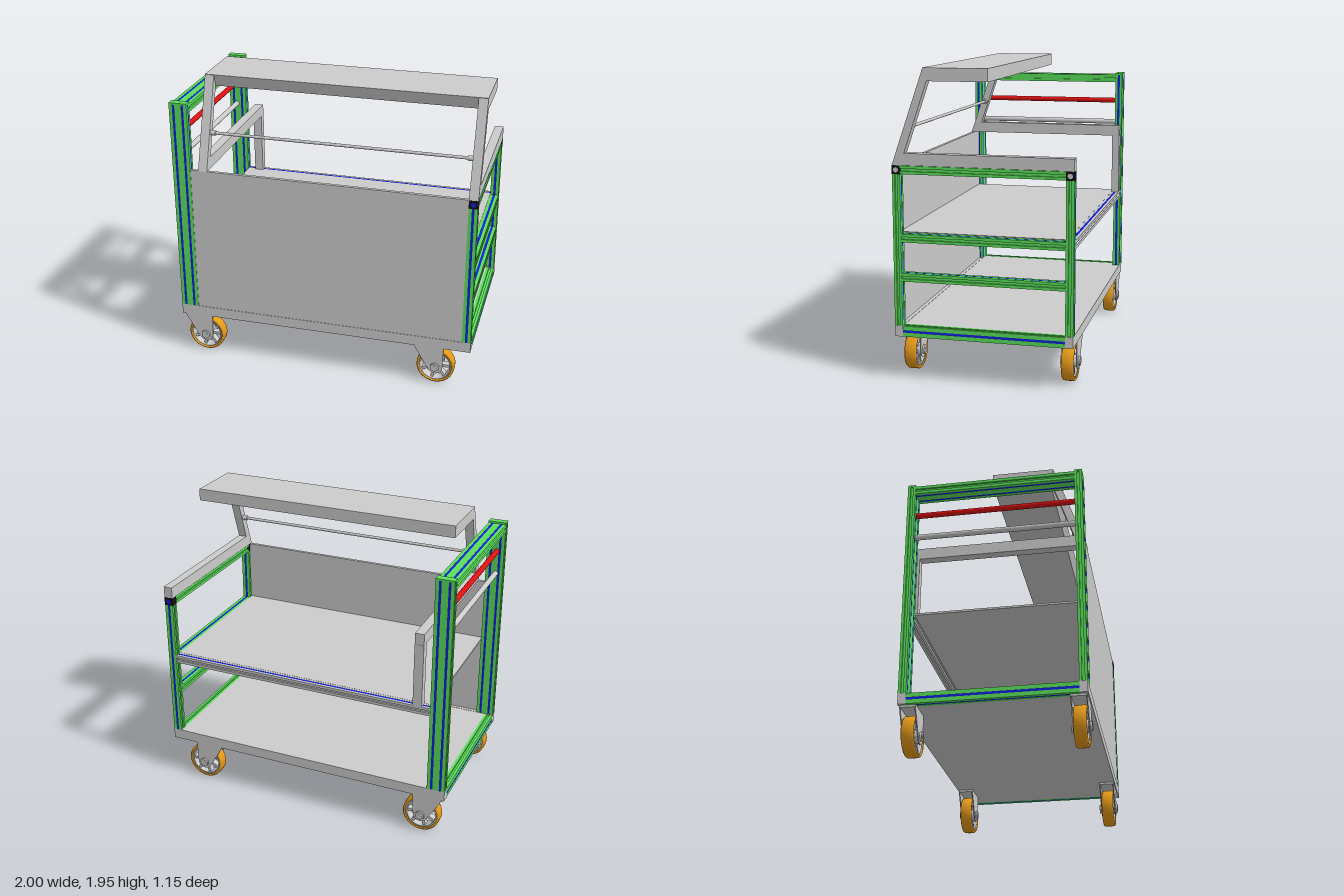
import * as THREE from 'three';

const mat = (color) => new THREE.MeshStandardMaterial({ color });
const GREY = mat(0xcccccc), GREEN = mat(0x5be05b), BLUE = mat(0x1020dd);
const RED = mat(0xdd1111), BLACK = mat(0x111111), ORANGE = mat(0xe69a1a);

function add(parent, name, geo, material, x = 0, y = 0, z = 0) {
  const m = new THREE.Mesh(geo, material);
  m.name = name;
  m.position.set(x, y, z);
  parent.add(m);
  return m;
}

// Box given by its min and max on every axis
function box(parent, name, x0, x1, y0, y1, z0, z1, material = GREY) {
  return add(parent, name, new THREE.BoxGeometry(x1 - x0, y1 - y0, z1 - z0), material,
    (x0 + x1) / 2, (y0 + y1) / 2, (z0 + z1) / 2);
}

// Extrude a side outline of [z, y] points along x
function sideExtrude(parent, name, pts, x0, x1, material = GREY) {
  const shape = new THREE.Shape(pts.map(([z, y]) => new THREE.Vector2(-z, y)));
  const geo = new THREE.ExtrudeGeometry(shape, { depth: x1 - x0, bevelEnabled: false });
  geo.rotateY(Math.PI / 2);
  return add(parent, name, geo, material, x0, 0, 0);
}

const SLOT = 0.016, DEPTH = 0.012;

// Slotted profile, w by h with n cells along w, centred, extruded along local z.
// inlays lists the sides (+u, -u, +v, -v) whose slots hold a blue strip.
function profile(parent, name, w, h, n, len, inlays, material = GREEN) {
  const g = new THREE.Group();
  g.name = name;
  const pts = [], cells = [];
  for (let i = 0; i < n; i++) cells.push(-w / 2 + (w / n) * (i + 0.5));
  const sides = [
    { key: '-v', half: w / 2, off: h / 2, c: cells, a: 0 },
    { key: '+u', half: h / 2, off: w / 2, c: [0], a: Math.PI / 2 },
    { key: '+v', half: w / 2, off: h / 2, c: cells, a: Math.PI },
    { key: '-u', half: h / 2, off: w / 2, c: [0], a: -Math.PI / 2 },
  ];
  const s = SLOT / 2;
  for (const { key, half, off, c, a } of sides) {
    const put = (u, v) => pts.push(new THREE.Vector2(u, v).rotateAround(new THREE.Vector2(), a));
    put(-half, -off);
    for (const m of c) {
      put(m - s, -off); put(m - s, -off + DEPTH);
      put(m + s, -off + DEPTH); put(m + s, -off);
      if (inlays.includes(key)) {
        const p = new THREE.Vector2(m, -off + DEPTH / 2 + 0.001).rotateAround(new THREE.Vector2(), a);
        add(g, 'slotStrip', new THREE.BoxGeometry(SLOT, DEPTH, len), BLUE, p.x, p.y, 0).rotation.z = a;
      }
    }
  }
  const geo = new THREE.ExtrudeGeometry(new THREE.Shape(pts), { depth: len, bevelEnabled: false });
  geo.translate(0, 0, -len / 2);
  add(g, 'profileBar', geo, material);
  parent.add(g);
  return g;
}

// Upright profile: local u stays x, local v becomes -z
function post(parent, name, x, z, w, n, y0, y1, inlays) {
  const p = profile(parent, name, w, 0.05, n, y1 - y0, inlays);
  p.rotation.x = -Math.PI / 2;
  p.position.set(x, (y0 + y1) / 2, z);
}

// Cross rail along z
function rail(parent, name, x, y, w, h, n, inlays) {
  profile(parent, name, w, h, n, 1.03, inlays).position.set(x, y, 0);
}

function rod(parent, name, r, len, axis, material, x, y, z, sides = 20) {
  const geo = new THREE.CylinderGeometry(r, r, len, sides);
  if (axis === 'x') geo.rotateZ(Math.PI / 2);
  if (axis === 'z') geo.rotateX(Math.PI / 2);
  return add(parent, name, geo, material, x, y, z);
}

// Swivel caster with the axle at the local origin
function caster() {
  const g = new THREE.Group();
  g.name = 'caster';
  // tyre
  const tyrePts = [[0.108, -0.035], [0.118, -0.04], [0.125, -0.032], [0.127, 0],
    [0.125, 0.032], [0.118, 0.04], [0.108, 0.035], [0.108, -0.035]];
  const tyre = new THREE.LatheGeometry(tyrePts.map(([r, y]) => new THREE.Vector2(r, y)), 40);
  tyre.rotateX(Math.PI / 2);
  add(g, 'tyre', tyre, ORANGE);
  // rim, hub and spokes
  const rimPts = [[0.098, -0.032], [0.109, -0.032], [0.109, 0.032], [0.098, 0.032], [0.098, -0.032]];
  const rim = new THREE.LatheGeometry(rimPts.map(([r, y]) => new THREE.Vector2(r, y)), 40);
  rim.rotateX(Math.PI / 2);
  add(g, 'rim', rim, GREY);
  rod(g, 'hub', 0.04, 0.08, 'z', GREY, 0, 0, 0);
  for (let i = 0; i < 7; i++) {
    const a = (i / 7) * Math.PI * 2;
    const spoke = add(g, 'spoke', new THREE.BoxGeometry(0.075, 0.018, 0.045), GREY,
      Math.cos(a) * 0.068, Math.sin(a) * 0.068, 0);
    spoke.rotation.z = a;
  }
  // fork plates, rounded around the axle
  const fork = new THREE.Shape();
  fork.moveTo(-0.14, 0.148);
  fork.lineTo(-0.13, 0.12);
  fork.lineTo(-0.05, -0.015);
  fork.absarc(0, 0, 0.05, Math.PI * 1.1, Math.PI * 2, false);
  fork.lineTo(0.055, 0.148);
  const plate = new THREE.ExtrudeGeometry(fork, { depth: 0.007, bevelEnabled: false });
  add(g, 'forkPlate', plate, GREY, 0, 0, 0.043);
  add(g, 'forkPlate', plate, GREY, 0, 0, -0.05);
  box(g, 'forkTop', -0.14, 0.055, 0.136, 0.15, -0.05, 0.05);
  rod(g, 'axle', 0.014, 0.13, 'z', GREY, 0, 0, 0);
  for (const s of [-1, 1]) rod(g, 'axleNut', 0.032, 0.014, 'z', GREY, 0, 0, s * 0.056, 6);
  return g;
}

export function createModel() {
  const model = new THREE.Group();
  model.name = 'workshopTrolley';

  // Base deck with side strips and end beams
  box(model, 'baseDeck', -0.945, 0.945, 0.28, 0.348, -0.515, 0.515);
  for (const s of [-1, 1]) {
    add(model, 'baseStrip', new THREE.BoxGeometry(2, 0.07, 0.05), GREY, 0, 0.315, s * 0.54);
    rail(model, 'baseEndBeam', s * 0.972, 0.314, 0.054, 0.068, 1, ['+u', '-u', '-v']);
  }

  // Uprights: tall double posts at -x, single posts with corner blocks at +x
  for (const s of [-1, 1]) {
    const z = s * 0.54;
    post(model, 'tallPost', -0.94, z, 0.12, 2, 0.35, 1.8, ['+v', '-v', '+u']);
    box(model, 'postCap', -1, -0.88, 1.8, 1.812, z - 0.025, z + 0.025, GREEN);
    post(model, 'shortPost', 0.97, z, 0.058, 1, 0.35, 1.305, ['+v', '-v']);
    box(model, 'cornerBlock', 0.941, 1, 1.305, 1.36, z - 0.026, z + 0.026, BLACK);
    rod(model, 'cornerBolt', 0.016, 0.006, 'x', GREY, 1, 1.332, z);
    rod(model, 'cornerBolt', 0.016, 0.006, 'z', BLUE, 0.97, 1.332, s * 0.565);
  }

  // Cross rails
  for (const y of [0.66, 0.908, 1.332]) rail(model, 'crossRail', 0.97, y, 0.058, 0.052, 1, ['+v', '-v']);
  rail(model, 'pushFrameRail', -0.94, 1.772, 0.12, 0.055, 2, ['+v', '-v']);
  rod(model, 'pushHandle', 0.018, 1.03, 'z', RED, -0.95, 1.605, 0);
  rod(model, 'lowerTube', 0.018, 1.03, 'z', GREY, -0.95, 1.445, 0);

  // Front panel
  box(model, 'frontPanel', -0.88, 0.941, 0.35, 1.36, 0.54, 0.562);

  // Shelf sheet with slotted back beam
  box(model, 'shelf', -0.88, 0.941, 0.925, 0.938, -0.515, 0.54);
  const beam = profile(model, 'shelfBackBeam', 1.82, 0.054, 1, 0.001, []);
  model.remove(beam);
  const backBeam = profile(model, 'shelfBackBeam', 0.05, 0.054, 1, 1.82, ['+v'], GREY);
  backBeam.rotation.y = Math.PI / 2;
  backBeam.position.set(0.03, 0.91, -0.54);

  // Bent side arms carrying the canopy
  const arm = [[0.565, 1.36], [0.36, 1.95], [0.3, 1.95], [0.336, 1.872],
    [0.486, 1.435], [-0.565, 1.435], [-0.565, 1.36]];
  for (const x of [-0.825, 0.94]) sideExtrude(model, 'sideArm', arm, x, x + 0.06);
  box(model, 'armBackLeg', -0.825, -0.765, 0.937, 1.36, -0.567, -0.515);

  // Canopy
  sideExtrude(model, 'canopy', [[0.361, 1.952], [-0.042, 1.952], [-0.042, 1.872], [0.335, 1.872]], -0.826, 1);

  // Thin hanging rod with end collars
  rod(model, 'hangingRod', 0.01, 1.7, 'x', GREY, 0.09, 1.593, 0.457);
  for (const x of [-0.748, 0.925]) rod(model, 'rodCollar', 0.017, 0.034, 'x', GREY, x, 1.593, 0.457);

  // Casters
  for (const x of [-0.84, 0.77]) {
    for (const z of [-0.508, 0.508]) {
      const c = caster();
      c.position.set(x, 0.13, z);
      model.add(c);
    }
  }
  return model;
}
